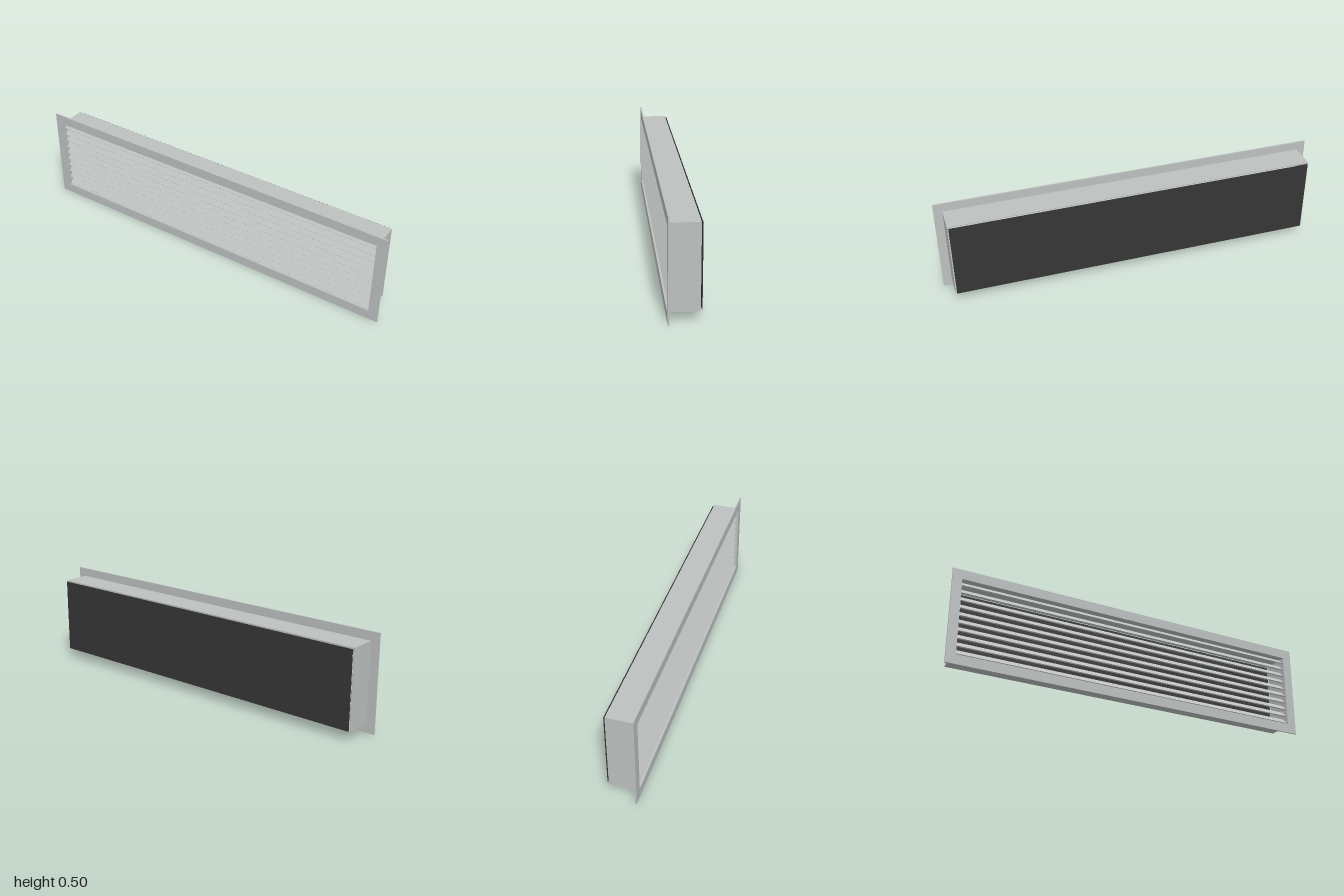
import * as THREE from 'three';

const paintedMetal = new THREE.MeshStandardMaterial({ color: 0xbcc0bf });
paintedMetal.name = 'paintedMetal';
const blackBacking = new THREE.MeshStandardMaterial({ color: 0x363636 });
blackBacking.name = 'blackBacking';

const MID_Y = 0.251;          // height of the grille's centre line
const OPEN_W = 1.9;           // clear opening
const OPEN_H = 0.4;

// Rectangular ring around the opening, extruded along z
function ring(name, width, height, zBack, depth) {
  const rect = (P, w, h) => new P([
    new THREE.Vector2(-w / 2, -h / 2), new THREE.Vector2(w / 2, -h / 2),
    new THREE.Vector2(w / 2, h / 2), new THREE.Vector2(-w / 2, h / 2),
  ]);
  const shape = rect(THREE.Shape, width, height);
  shape.holes.push(rect(THREE.Path, OPEN_W, OPEN_H));
  const mesh = new THREE.Mesh(
    new THREE.ExtrudeGeometry(shape, { depth, bevelEnabled: false }), paintedMetal);
  mesh.name = name;
  mesh.position.set(0, MID_Y, zBack);
  return mesh;
}

export function createModel() {
  const group = new THREE.Group();
  group.name = 'ventGrille';

  // Wall flange and the duct collar behind it
  group.add(ring('flange', 2, 0.502, 0.07, 0.008));
  group.add(ring('collar', 1.912, 0.412, -0.07, 0.14));

  // Ten louvre slats sloping down towards the front
  const louvres = new THREE.Group();
  louvres.name = 'louvres';
  const slatGeometry = new THREE.BoxGeometry(OPEN_W, 0.006, 0.046);
  for (let i = 0; i < 10; i++) {
    const slat = new THREE.Mesh(slatGeometry, paintedMetal);
    slat.name = 'slat';
    slat.position.set(0, 0.073 + i * 0.0405, 0.051);
    slat.rotation.x = Math.PI / 4;
    louvres.add(slat);
  }
  group.add(louvres);

  // Dark sheet closing the back
  const backing = new THREE.Mesh(new THREE.BoxGeometry(OPEN_W, OPEN_H, 0.003), blackBacking);
  backing.name = 'backSheet';
  backing.position.set(0, MID_Y, -0.0765);
  group.add(backing);

  return group;
}
